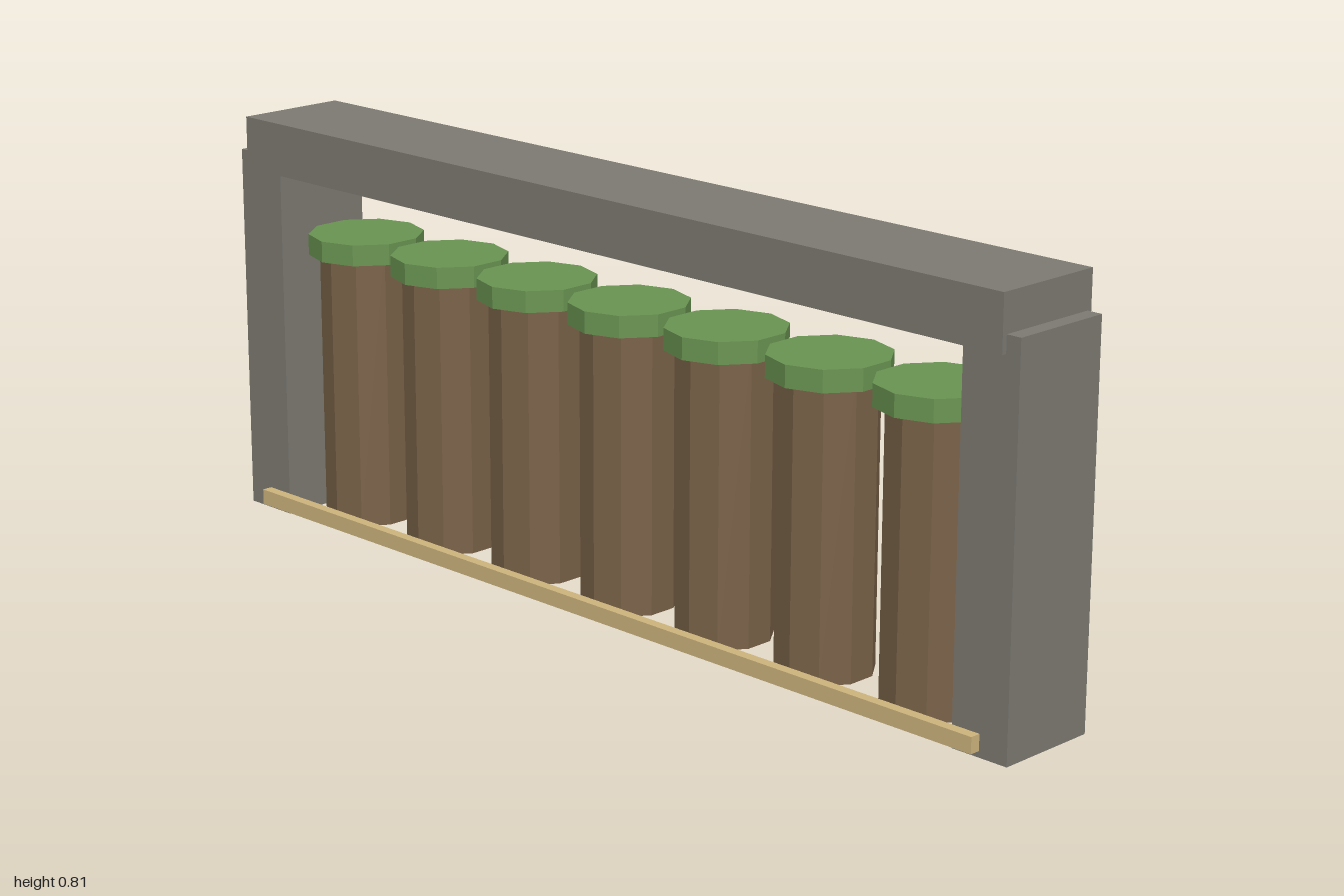
import * as THREE from 'three';

export function createModel() {
  const model = new THREE.Group();
  model.name = 'logGate';

  const mat = (name, color) => {
    const m = new THREE.MeshStandardMaterial({ color, flatShading: true });
    m.name = name;
    return m;
  };
  const stone = mat('grey stone', 0x7d7a72);
  const bark = mat('brown wood', 0x7a6248);
  const leaf = mat('green cap', 0x6a9452);
  const straw = mat('pale wood', 0xcdb47c);

  const add = (parent, name, geometry, material, x, y, z) => {
    const mesh = new THREE.Mesh(geometry, material);
    mesh.name = name;
    mesh.position.set(x, y, z);
    parent.add(mesh);
  };
  const zMid = -0.005;

  // Two stone posts carrying a lintel
  const postGeo = new THREE.BoxGeometry(0.12, 0.743, 0.21);
  for (const [name, side] of [['leftPost', 1], ['rightPost', -1]]) {
    add(model, name, postGeo, stone, side * 0.94, 0.3715, zMid);
  }
  add(model, 'lintel', new THREE.BoxGeometry(1.94, 0.105, 0.23), stone, 0, 0.7625, zMid);

  // Thin strip along the front foot
  add(model, 'frontStrip', new THREE.BoxGeometry(1.88, 0.031, 0.021), straw, 0, 0.0275, 0.1105);

  // Row of ten-sided logs with wider green caps
  const logGeo = new THREE.CylinderGeometry(0.093, 0.093, 0.57, 10);
  const capGeo = new THREE.CylinderGeometry(0.115, 0.115, 0.042, 10);
  for (let i = 0; i < 7; i++) {
    const post = new THREE.Group();
    post.name = 'cappedLog' + (i + 1);
    post.position.set((i - 3) * 0.248, 0, zMid);
    add(post, 'log', logGeo, bark, 0, 0.297, 0);
    add(post, 'cap', capGeo, leaf, 0, 0.577, 0);
    model.add(post);
  }
  return model;
}
